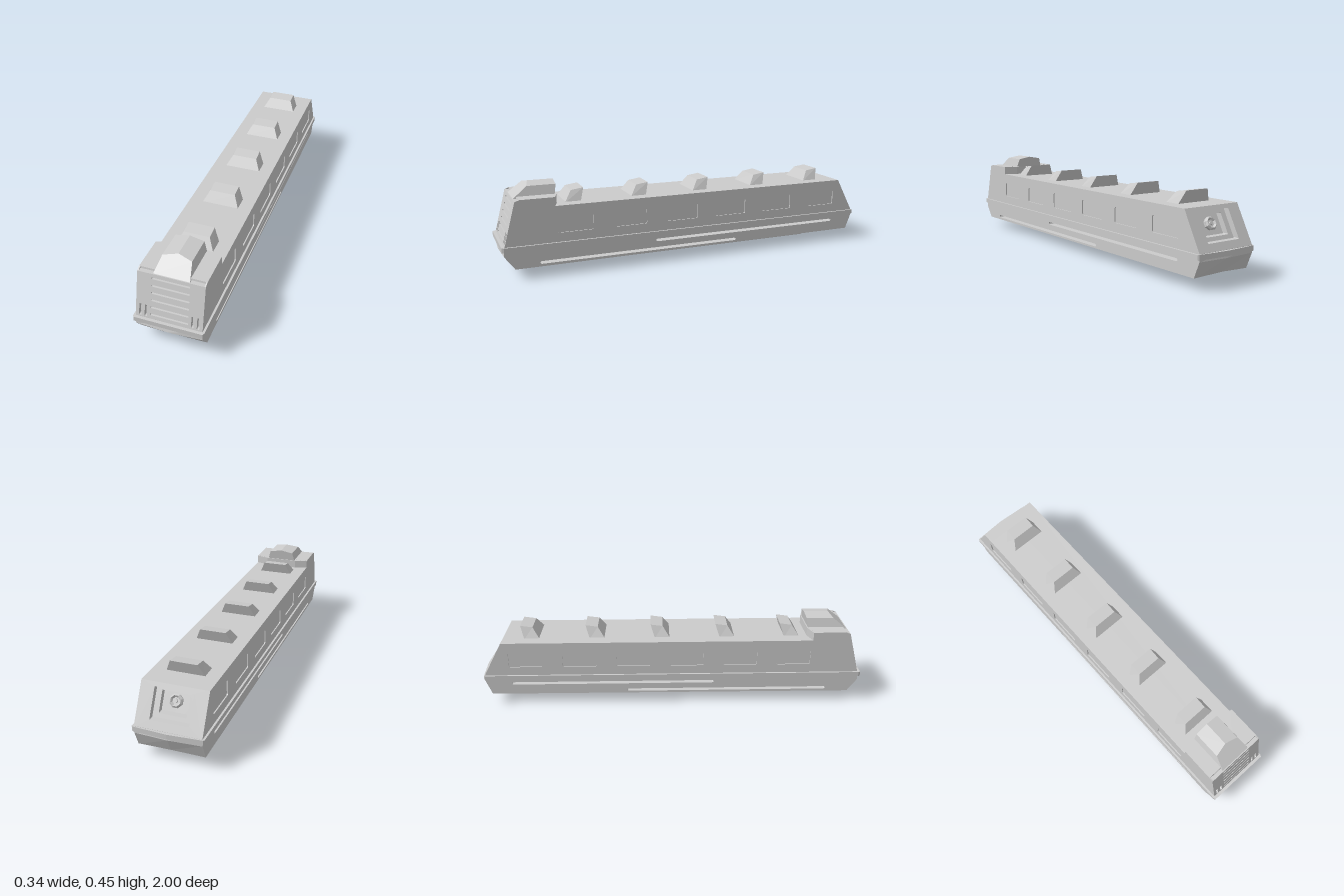
import * as THREE from 'three';

const material = new THREE.MeshStandardMaterial({ color: 0xcccccc, flatShading: true });

function add(parent, name, geometry) {
  geometry.computeVertexNormals();
  const mesh = new THREE.Mesh(geometry, material);
  mesh.name = name;
  parent.add(mesh);
  return mesh;
}

const polygon = (points) => new THREE.Shape(points.map(([x, y]) => new THREE.Vector2(x, y)));

// Rounded rectangle between two corners, used for every opening
function opening(x0, x1, y0, y1, r) {
  const p = new THREE.Path();
  p.absarc(x1 - r, y0 + r, r, -Math.PI / 2, 0);
  p.absarc(x1 - r, y1 - r, r, 0, Math.PI / 2);
  p.absarc(x0 + r, y1 - r, r, Math.PI / 2, Math.PI);
  p.absarc(x0 + r, y0 + r, r, Math.PI, Math.PI * 1.5);
  p.closePath();
  return p;
}

const extrude = (shape, depth, steps = 1) =>
  new THREE.ExtrudeGeometry(shape, { depth, steps, bevelEnabled: false, curveSegments: 3 });

// Extrudes a (z, y) side profile across x, centred on the given x
const acrossX = (shape, width, x = 0, steps = 1) =>
  extrude(shape, width, steps).translate(0, 0, -width / 2).rotateY(-Math.PI / 2).translate(x, 0, 0);

// Extrudes a plan drawn in (x, -z) upwards from y0 to y1
const upward = (shape, y0, y1) => extrude(shape, y1 - y0).rotateX(-Math.PI / 2).translate(0, y0, 0);

// Moves each vertex by a rule
function move(geometry, rule) {
  const p = geometry.attributes.position;
  const v = new THREE.Vector3();
  for (let i = 0; i < p.count; i++) {
    rule(v.fromBufferAttribute(p, i));
    p.setXYZ(i, v.x, v.y, v.z);
  }
  return geometry;
}

// Tapered block; each end is { y, x: half width, back, front }
function taper(bottom, top) {
  return move(new THREE.BoxGeometry(2, 2, 2), (v) => {
    const e = v.y > 0 ? top : bottom;
    v.set(v.x * e.x, v.z > 0 && e.yFront !== undefined ? e.yFront : e.y, v.z > 0 ? e.front : e.back);
  });
}

const HALF = 0.16, SKIN = 0.006, CORE = HALF - SKIN;
const frontZ = (y) => 0.985 - (y - 0.165) * 0.27;
const rearZ = (y) => -0.985 + (y - 0.165) * 0.54;

// Side profile; insets leave room for the end panels
function profile(frontInset, rearInset) {
  const s = polygon([
    [-0.955, 0.055], [0.94, 0.05], [0.99, 0.118], [0.985, 0.165],
    [frontZ(0.165) - frontInset, 0.165], [frontZ(0.38) - frontInset, 0.38], [0.905, 0.389],
    [0.735, 0.389], [0.742, 0.345],
    [rearZ(0.345) + rearInset, 0.345], [rearZ(0.165) + rearInset, 0.165],
    [-0.985, 0.165], [-0.985, 0.13],
  ]);
  // Long slots passing right through the lower body
  s.holes.push(opening(-0.24, 0.82, 0.063, 0.077, 0.0069));
  s.holes.push(opening(-0.85, 0.22, 0.108, 0.122, 0.0069));
  return s;
}

function buildBody(model) {
  // Core with slightly bowed lower ends
  const core = acrossX(profile(0.02, 0.06), CORE * 2, 0, 2);
  move(core, (v) => {
    if (Math.abs(v.x) > 0.01 || Math.abs(v.z) < 0.9 || v.y > 0.14) return;
    v.z += Math.sign(v.z) * 0.008;
    if (v.y < 0.06) v.y += 0.008;
  });
  add(model, 'bodyCore', core);

  // Side skins with window recesses
  for (const side of [-1, 1]) {
    const skin = profile(0, 0);
    for (let i = 0; i < 6; i++) {
      const z = 0.727 - i * 0.281;
      skin.holes.push(opening(z - 0.177, z, 0.21, 0.29, 0.008));
    }
    add(model, side > 0 ? 'leftSide' : 'rightSide', acrossX(skin, SKIN, side * (HALF - SKIN / 2)));
  }

  // Belt around the body
  const belt = polygon([
    [-0.165, -1], [0.165, -1], [0.17, -0.99], [0.17, 0.985], [0.165, 0.99],
    [0, 1], [-0.165, 0.99], [-0.17, 0.985], [-0.17, -0.99],
  ]);
  add(model, 'belt', upward(belt, 0.14, 0.164));
}

const panelShape = (top) => polygon([[-CORE, 0.165], [CORE, 0.165], [CORE, top], [-CORE, top]]);

function buildFront(model) {
  // Sloping grille panel
  const shape = panelShape(0.38);
  for (let i = 0; i < 6; i++) {
    const y = 0.185 + i * 0.035;
    shape.holes.push(opening(-0.09, 0.09, y - 0.004, y + 0.004, 0.002));
  }
  for (const x of [-0.138, -0.111, 0.111, 0.138])
    shape.holes.push(opening(x - 0.006, x + 0.006, 0.171, 0.226, 0.004));
  add(model, 'frontGrille', move(extrude(shape, 0.02), (v) => { v.z += frontZ(v.y) - 0.02; }));

  // Raised hood on the cab roof
  const hood = extrude(polygon([
    [-0.086, 0.38], [0.086, 0.38], [0.07, 0.435], [0, 0.448], [-0.07, 0.435],
  ]), 1);
  add(model, 'cabHood', move(hood, (v) => {
    const h = v.y - 0.38;
    v.z = v.z > 0.5 ? 0.922 - h * 1.25 : 0.72 - h * 0.16;
  }));

  // Rear lip of the cab roof
  const lip = polygon([[-HALF, -0.745], [HALF, -0.745], [HALF, -0.735], [0.09, -0.713], [-0.09, -0.713], [-HALF, -0.735]]);
  add(model, 'cabRoofLip', upward(lip, 0.344, 0.3885));
}

function buildRear(model) {
  // Stepped recess made from two sloping frames
  const frames = [[0.093, 0.198, 0.327, 0, 0.03], [0.066, 0.215, 0.305, 0.03, 0.03]];
  frames.forEach(([x, y0, y1, inset, depth], i) => {
    const shape = panelShape(0.345);
    shape.holes.push(opening(-x, x, y0, y1, 0.003));
    add(model, i ? 'innerRearFrame' : 'outerRearFrame',
      move(extrude(shape, depth), (v) => { v.z += rearZ(v.y) + inset; }));
  });

  // Eight-sided lamp
  const lamp = new THREE.Group();
  lamp.name = 'rearLamp';
  lamp.position.set(0, 0.26, rearZ(0.26) + 0.058);
  lamp.rotation.x = Math.atan(0.54);
  add(lamp, 'lampRim', new THREE.TorusGeometry(0.025, 0.008, 4, 8).rotateZ(Math.PI / 8).translate(0, 0, -0.012));
  add(lamp, 'lampBase', new THREE.CylinderGeometry(0.03, 0.03, 0.024, 8).rotateX(Math.PI / 2).rotateZ(Math.PI / 8));
  add(lamp, 'lampLens', new THREE.CylinderGeometry(0.012, 0.009, 0.03, 8).rotateX(Math.PI / 2).translate(0, 0, -0.003));
  model.add(lamp);
}

export function createModel() {
  const model = new THREE.Group();
  model.name = 'railCar';
  buildBody(model);
  buildFront(model);
  buildRear(model);

  // Roof vents leaning backwards
  for (let i = 0; i < 5; i++) {
    const vent = taper(
      { y: 0.34, x: 0.095, back: 0.594, front: 0.674 },
      { y: 0.405, yFront: 0.396, x: 0.065, back: 0.572, front: 0.636 });
    add(model, 'roofVent', vent.translate(0, 0, -i * 0.342));
  }

  // Keel and its narrow fin
  add(model, 'keel', taper(
    { y: 0.02, x: 0.05, back: -0.77, front: 0.7 },
    { y: 0.06, x: 0.082, back: -0.84, front: 0.775 }));
  add(model, 'keelFin', taper(
    { y: 0, x: 0.009, back: -0.75, front: 0.68 },
    { y: 0.022, x: 0.014, back: -0.77, front: 0.7 }));
  return model;
}
